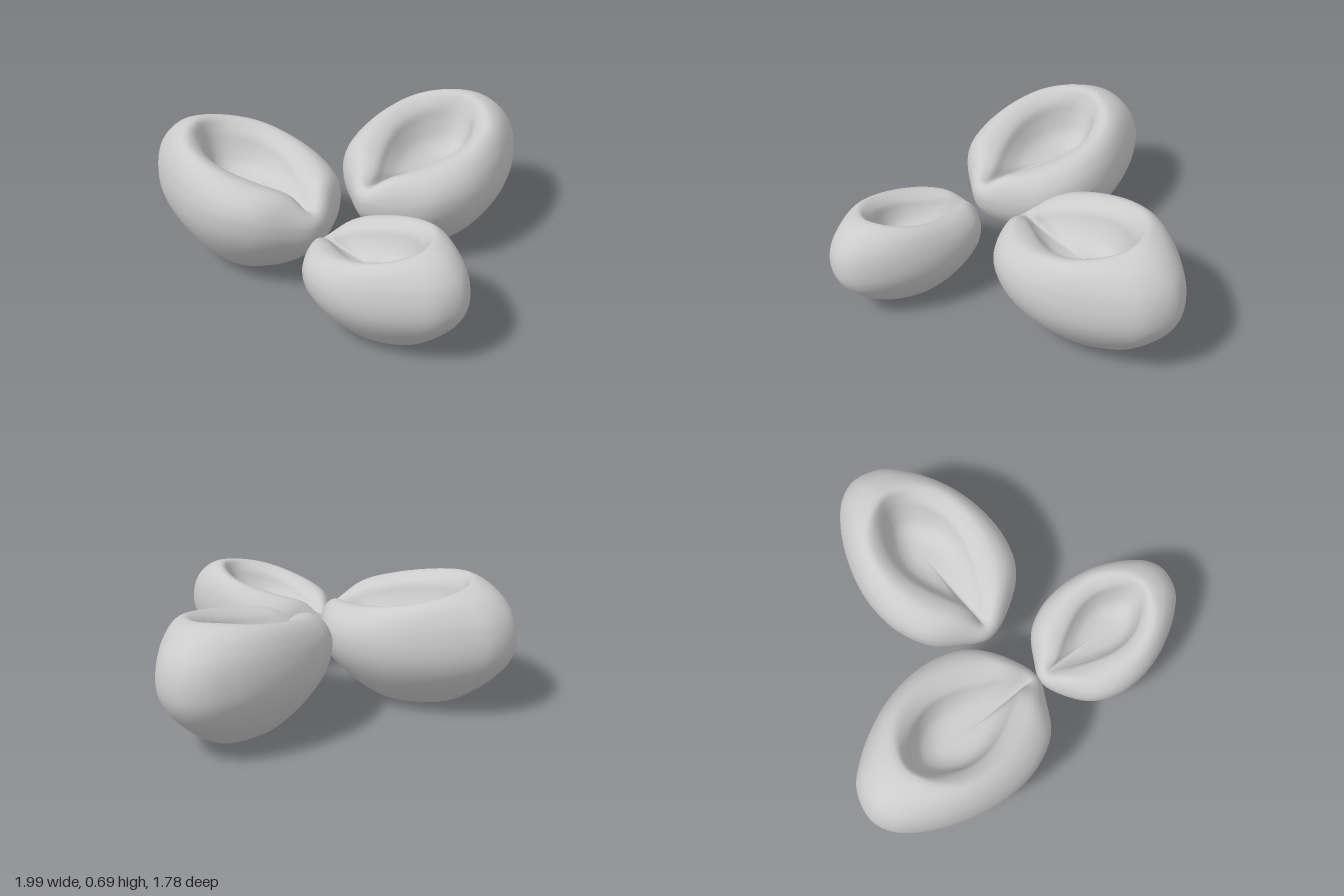
import * as THREE from 'three';
import { mergeVertices } from 'three/addons/utils/BufferGeometryUtils.js';

const SEGMENTS = 72, STEPS = 60;
const CENTRE = 0.56; // distance from the tip to the middle of a pod
const { lerp, smoothstep } = THREE.MathUtils;

// Closed plan curve from (sideways, distance from tip): tip, right side, far end, mirrored left side
const planCurve = (tip, side, far) => new THREE.CatmullRomCurve3(
  [tip, ...side, far, ...side.map(([w, u]) => [-w, u]).reverse()]
    .map(([w, u]) => new THREE.Vector3(w, 0, CENTRE - u)), true);

const outline = planCurve([-0.03, 0],
  [[0.16, 0.065], [0.3, 0.17], [0.375, 0.33], [0.39, 0.5], [0.365, 0.66], [0.305, 0.82], [0.23, 0.95], [0.135, 1.055]], [-0.02, 1.1]);
const bowlEdge = planCurve([-0.03, 0.08],
  [[0.05, 0.14], [0.1, 0.23], [0.155, 0.35], [0.19, 0.48], [0.185, 0.6], [0.15, 0.69], [0.095, 0.765], [0.045, 0.8]], [0, 0.81]);
const floorCentre = new THREE.Vector3(0, 0.4, CENTRE - 0.58);

// One line over the skin: base centre, up the outside, over the rim, down to the bowl floor
function meridian(out, inn) {
  const u = CENTRE - out.z;
  const far = smoothstep(u, 0.7, 1.1);
  const belly = 0.42 - 0.06 * out.x - 0.05 * (1 - smoothstep(u, 0, 0.25));
  const peak = lerp(0.4, 0.12, far);
  const rimPoint = inn.clone().lerp(out, peak);
  const groove = 0.08 * Math.exp(-(((out.x + 0.03) / 0.13) ** 2)) * (1 - smoothstep(u, 0.1, 0.3));
  const rim = 0.5 + 0.22 * (CENTRE - rimPoint.z) - 0.06 * out.x - groove;

  const under = [[0, 0.004], [0.22, 0.01], [0.42, 0.038], [0.6, 0.1], [0.78, 0.185], [0.92, 0.275], [0.985, 0.35], [1, 0.42]]
    .map(([s, y]) => new THREE.Vector3(out.x * s, y * lerp(belly / 0.42, 0.97, far), out.z * s));
  const lip = [[0.95, 0.27], [0.8, 0.57], [0.45, 0.88], [0, 1]]
    .map(([s, h]) => inn.clone().lerp(out, lerp(peak, 1, s)).setY(lerp(belly, rim, h)));
  const hollow = [[1, 0.8], [0.86, 0.5], [0.66, 0.2], [0.35, 0.04], [0, 0]]
    .map(([s, h]) => floorCentre.clone().lerp(inn, s).setY(lerp(floorCentre.y, rim, h)));
  return new THREE.CatmullRomCurve3([...under, ...lip, ...hollow], false, 'centripetal');
}

function podGeometry() {
  const positions = [], index = [];
  const row = STEPS + 1;
  for (let i = 0; i < SEGMENTS; i++) {
    const line = meridian(outline.getPoint(i / SEGMENTS), bowlEdge.getPoint(i / SEGMENTS));
    for (let j = 0; j <= STEPS; j++) positions.push(...line.getPoint(j / STEPS).toArray());
    for (let j = 0; j < STEPS; j++) {
      const a = i * row + j, b = ((i + 1) % SEGMENTS) * row + j;
      if (j > 0) index.push(a, b, b + 1);
      if (j < STEPS - 1) index.push(a, b + 1, a + 1);
    }
  }
  const geometry = new THREE.BufferGeometry();
  geometry.setAttribute('position', new THREE.Float32BufferAttribute(positions, 3));
  geometry.setIndex(index);
  const merged = mergeVertices(geometry, 1e-5);
  merged.computeVertexNormals();
  return merged;
}

export function createModel() {
  const group = new THREE.Group();
  const geometry = podGeometry();
  const material = new THREE.MeshStandardMaterial({ color: 0xcccccc });
  // Three hollow pods with their tips meeting near the middle
  const pods = [
    ['backPod', 0.11, -0.345, 0, 1],
    ['rightPod', -0.455, 0.5, Math.PI / 2, 1],
    ['leftPod', 0.566, 0.565, -Math.PI / 2, 0.795],
  ];
  for (const [name, x, z, turn, size] of pods) {
    const pod = new THREE.Mesh(geometry, material);
    pod.name = name;
    pod.position.set(x, 0, z);
    pod.rotation.y = turn;
    pod.scale.setScalar(size);
    group.add(pod);
  }
  return group;
}
